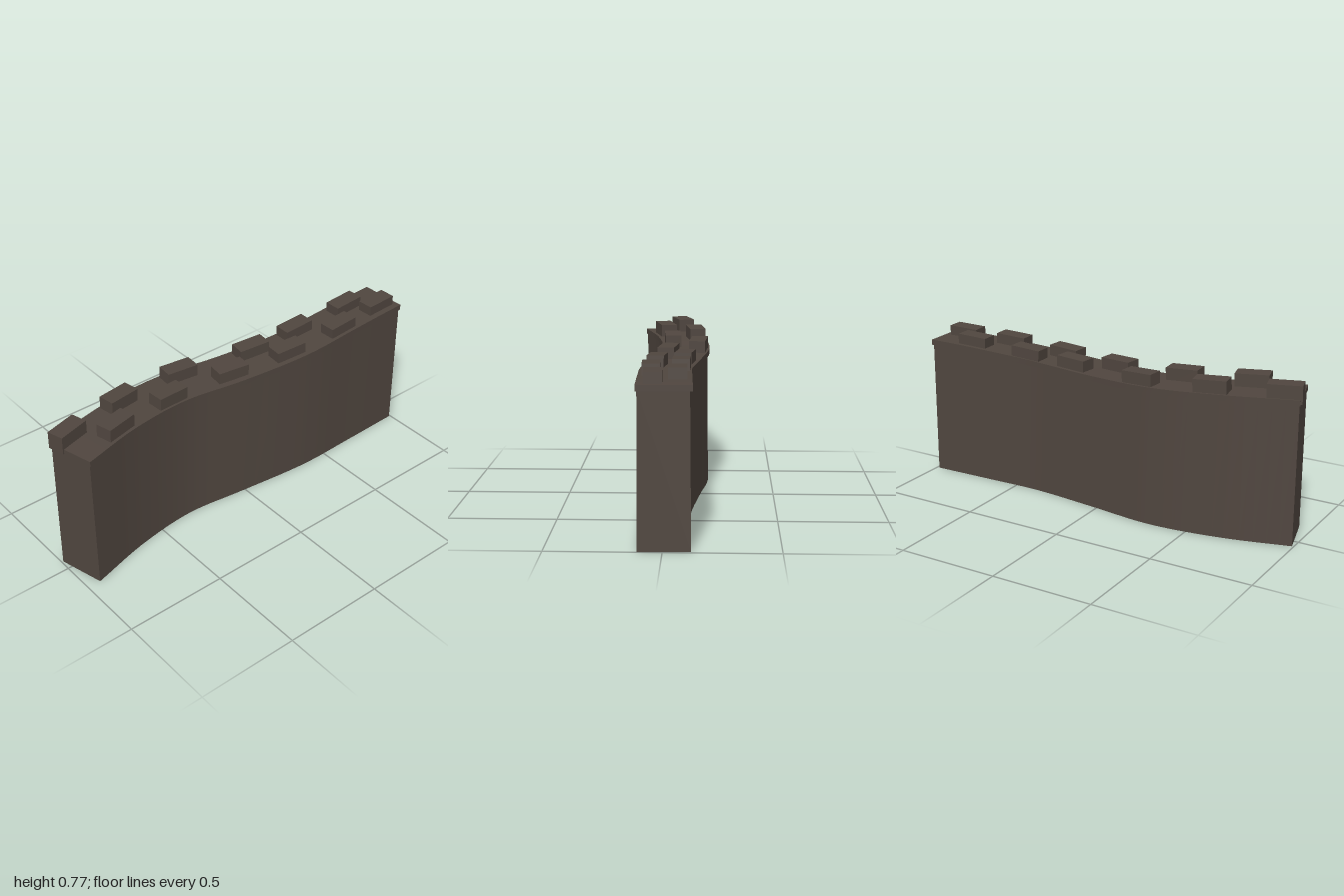
import * as THREE from 'three';
import { toCreasedNormals } from 'three/addons/utils/BufferGeometryUtils.js';

// Plan of the wall's centre line
const path = new THREE.CatmullRomCurve3([
  [-0.963, 0.055], [-0.65, -0.027], [-0.32, -0.065], [0, -0.03], [0.37, 0.007], [0.66, 0.002], [0.99, -0.007],
].map(([x, z]) => new THREE.Vector3(x, 0, z)));

// Height of the coping's top, sagging towards the middle
const sag = new THREE.CatmullRomCurve3([
  [-1.1, 0.704], [-0.85, 0.701], [-0.6, 0.694], [-0.3, 0.681], [0, 0.672], [0.3, 0.677], [0.6, 0.69], [0.88, 0.7], [1.1, 0.702],
].map(([x, y]) => new THREE.Vector3(x, y, 0)));
const sagPoints = sag.getPoints(200);
function topAt(x) {
  const i = Math.max(1, sagPoints.findIndex((p) => p.x >= x));
  const a = sagPoints[i - 1], b = sagPoints[i];
  return a.y + (b.y - a.y) * (x - a.x) / (b.x - a.x);
}

// Sweep a four-point section [offset, height] along the path, with end faces
function sweep(section, closed, overrun = 0, steps = 32) {
  const rings = [];
  for (let i = 0; i <= steps; i++) {
    const p = path.getPoint(i / steps), t = path.getTangent(i / steps);
    if (i === 0) p.addScaledVector(t, -overrun);
    if (i === steps) p.addScaledVector(t, overrun);
    rings.push(section(topAt(p.x)).map(([o, y]) => [p.x - t.z * o, y, p.z + t.x * o]));
  }
  const pos = [];
  const quad = (a, b, c, d) => pos.push(...a, ...b, ...c, ...a, ...c, ...d);
  for (let i = 0; i < steps; i++) {
    const r = rings[i], s = rings[i + 1];
    for (let j = 0; j < (closed ? 4 : 3); j++) {
      const k = (j + 1) % 4;
      quad(r[j], s[j], s[k], r[k]);
    }
  }
  quad(...rings[0]);
  quad(...rings[steps].slice().reverse());
  const g = new THREE.BufferGeometry();
  g.setAttribute('position', new THREE.Float32BufferAttribute(pos, 3));
  return toCreasedNormals(g, Math.PI / 5);
}

export function createModel() {
  const group = new THREE.Group();
  const stone = new THREE.MeshStandardMaterial({ color: 0x50463f, side: THREE.DoubleSide });
  stone.name = 'dark stone';
  const add = (name, geometry) => {
    const mesh = new THREE.Mesh(geometry, stone);
    mesh.name = name;
    group.add(mesh);
    return mesh;
  };

  // Hollow wall, open underneath
  add('wall', sweep((y) => [[0.113, 0], [0.111, y - 0.015], [-0.107, y - 0.015], [-0.113, 0]], false));

  // Thin overhanging coping
  add('coping', sweep((y) => [[0.118, y - 0.027], [0.118, y], [-0.118, y], [-0.118, y - 0.027]], true, 0.004));

  // Two staggered rows of blocks that follow the bend and the sag
  const blocks = {
    backBlock: [[-0.915, -0.032], [-0.59, -0.107], [-0.235, -0.128], [0.16, -0.072], [0.433, -0.063], [0.76, -0.057]],
    frontBlock: [[-0.72, 0.053], [-0.395, 0.005], [-0.04, 0.013], [0.283, 0.053], [0.61, 0.064], [0.888, 0.043]],
  };
  const blockGeometry = new THREE.BoxGeometry(0.16, 0.085, 0.08);
  for (const [name, spots] of Object.entries(blocks)) {
    spots.forEach(([x, z], i) => {
      // Direction of the path at the nearest station
      let t = 0, best = Infinity;
      for (let k = 0; k <= 100; k++) {
        const p = path.getPoint(k / 100), d = Math.hypot(p.x - x, p.z - z);
        if (d < best) { best = d; t = k / 100; }
      }
      const dir = path.getTangent(t);
      const slope = (topAt(x + 0.07) - topAt(x - 0.07)) / 0.14;
      const block = add(`${name}${i + 1}`, blockGeometry);
      block.rotation.set(0, Math.atan2(-dir.z, dir.x), Math.atan(slope), 'YXZ');
      const rise = 0.056 - 0.008 * x;
      block.position.set(x, topAt(x) + rise - 0.0425, z);
    });
  }
  return group;
}
